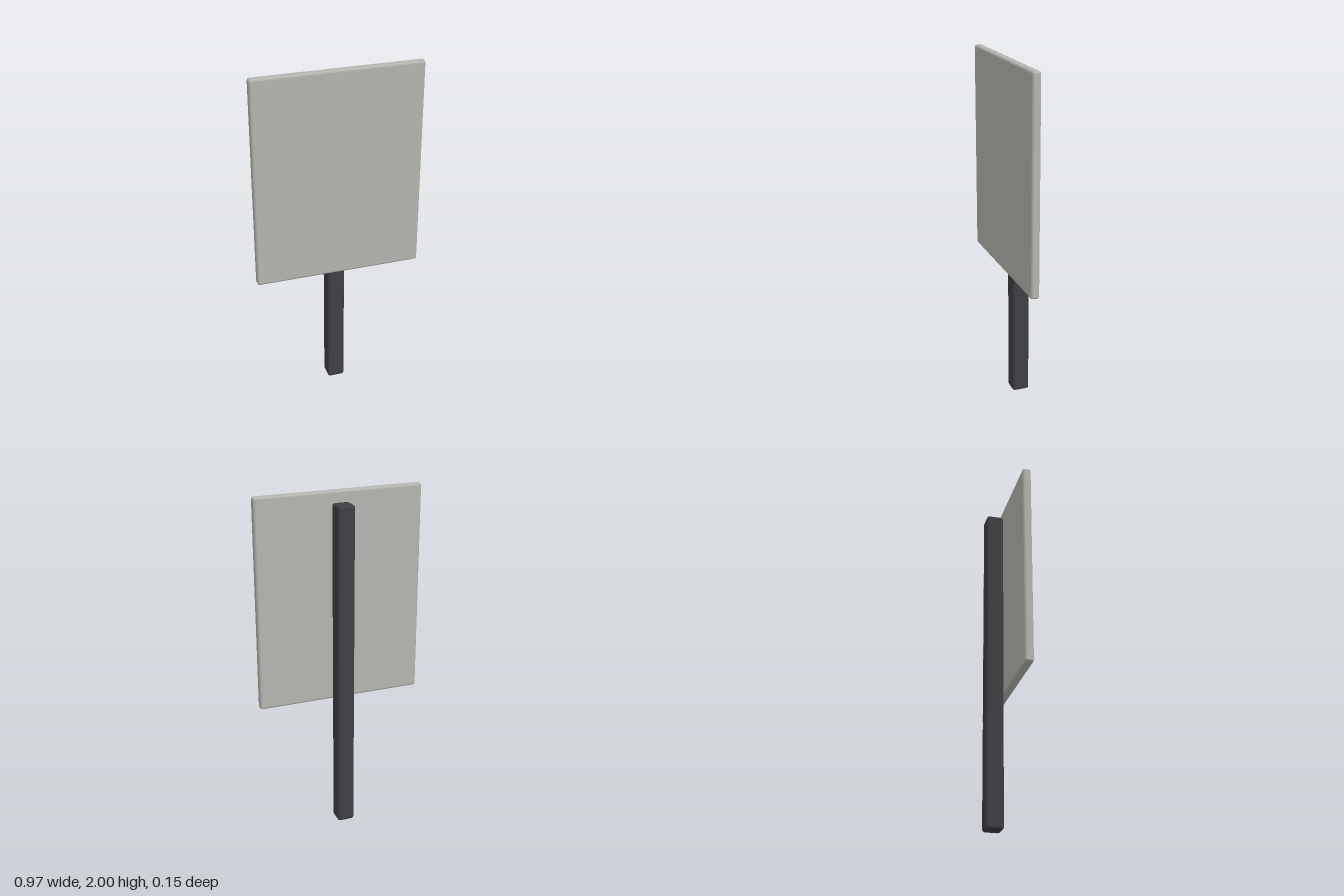
import * as THREE from 'three';
import { RoundedBoxGeometry } from 'three/addons/geometries/RoundedBoxGeometry.js';

const panelGrey = new THREE.MeshStandardMaterial({ color: 0xb5b5b1 });
panelGrey.name = 'panelGrey';
const postCharcoal = new THREE.MeshStandardMaterial({ color: 0x3f3f44 });
postCharcoal.name = 'postCharcoal';

// Softly bevelled block spanning the given bounds
function block(name, [x0, x1], [y0, y1], [z0, z1], bevel, material) {
  const geometry = new RoundedBoxGeometry(x1 - x0, y1 - y0, z1 - z0, 1, bevel);
  const mesh = new THREE.Mesh(geometry, material);
  mesh.name = name;
  mesh.position.set((x0 + x1) / 2, (y0 + y1) / 2, (z0 + z1) / 2);
  return mesh;
}

export function createModel() {
  const model = new THREE.Group();
  model.name = 'signBoard';
  // Square post standing behind the panel
  model.add(block('post', [-0.051, 0.051], [0, 1.938], [-0.076, 0.025], 0.015, postCharcoal));
  // Blank sign panel fixed to the front of the post
  model.add(block('signPanel', [-0.483, 0.483], [0.78, 2], [0.026, 0.076], 0.014, panelGrey));
  return model;
}
